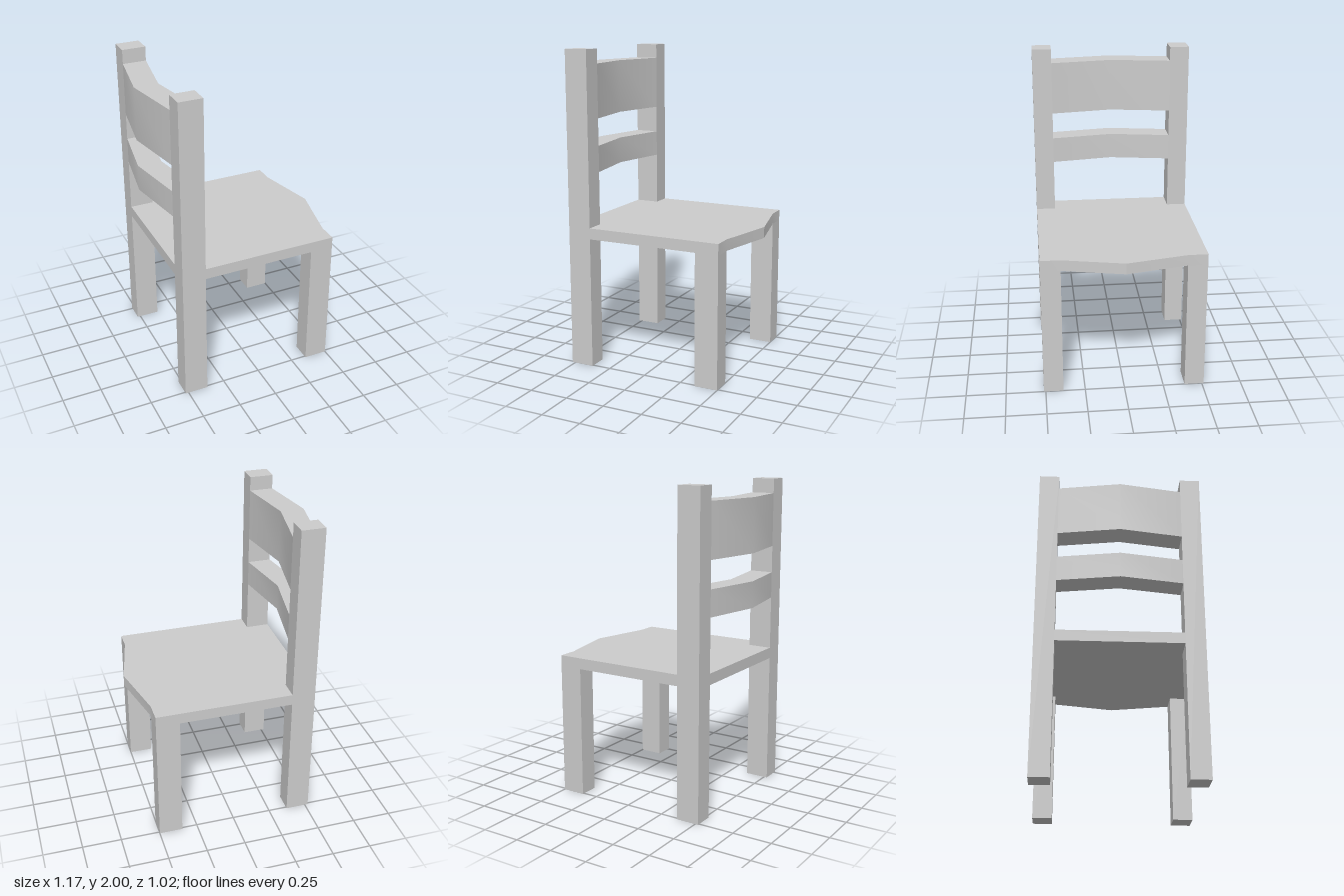
import * as THREE from 'three';
import { toCreasedNormals } from 'three/addons/utils/BufferGeometryUtils.js';

const BACK = -0.52, POST_IN = -0.37, FRONT = 0.5, LEG_IN = 0.35; // x positions
const Z_IN = 0.388, Z_OUT = 0.512; // inner and outer faces of the legs
const SEAT_LOW = 0.835, SEAT_TOP = 0.905;

export function createModel() {
  const chair = new THREE.Group();
  chair.name = 'chair';
  const material = new THREE.MeshStandardMaterial({ color: 0xcccccc });

  const add = (name, geometry) => {
    const mesh = new THREE.Mesh(geometry, material);
    mesh.name = name;
    chair.add(mesh);
    return mesh;
  };

  // Extrudes an outline of [x, z] points between two heights
  const slab = (name, outline, y0, y1) => {
    const shape = new THREE.Shape(outline.map(([x, z]) => new THREE.Vector2(x, z)));
    const geometry = new THREE.ExtrudeGeometry(shape, { depth: y1 - y0, bevelEnabled: false });
    geometry.rotateX(Math.PI / 2).translate(0, y1, 0);
    return add(name, toCreasedNormals(geometry, 0.4));
  };

  const leg = (name, x0, x1, height, side) =>
    add(name, new THREE.BoxGeometry(x1 - x0, height, Z_OUT - Z_IN))
      .position.set((x0 + x1) / 2, height / 2, side * (Z_IN + Z_OUT) / 2);

  // Tall back posts and short front legs
  for (const side of [-1, 1]) {
    const label = side > 0 ? 'A' : 'B';
    leg('backPost' + label, BACK, POST_IN, 2, side);
    leg('frontLeg' + label, LEG_IN, FRONT, SEAT_LOW, side);
  }

  // Seat with a pointed front edge, notched around the back posts
  slab('seat', [
    [BACK, -Z_IN], [POST_IN, -Z_IN], [POST_IN, -Z_OUT], [FRONT, -Z_OUT], [FRONT, -Z_IN],
    [0.587, 0],
    [FRONT, Z_IN], [FRONT, Z_OUT], [POST_IN, Z_OUT], [POST_IN, Z_IN], [BACK, Z_IN],
  ], SEAT_LOW, SEAT_TOP);

  // Bent back slats
  const bend = -0.067;
  const slatOutline = [
    [BACK, -Z_IN], [POST_IN, -Z_IN], [POST_IN + bend, 0],
    [POST_IN, Z_IN], [BACK, Z_IN], [BACK + bend, 0],
  ];
  slab('lowerSlat', slatOutline, 1.24, 1.405);
  slab('upperSlat', slatOutline, 1.575, 1.91);

  return chair;
}
